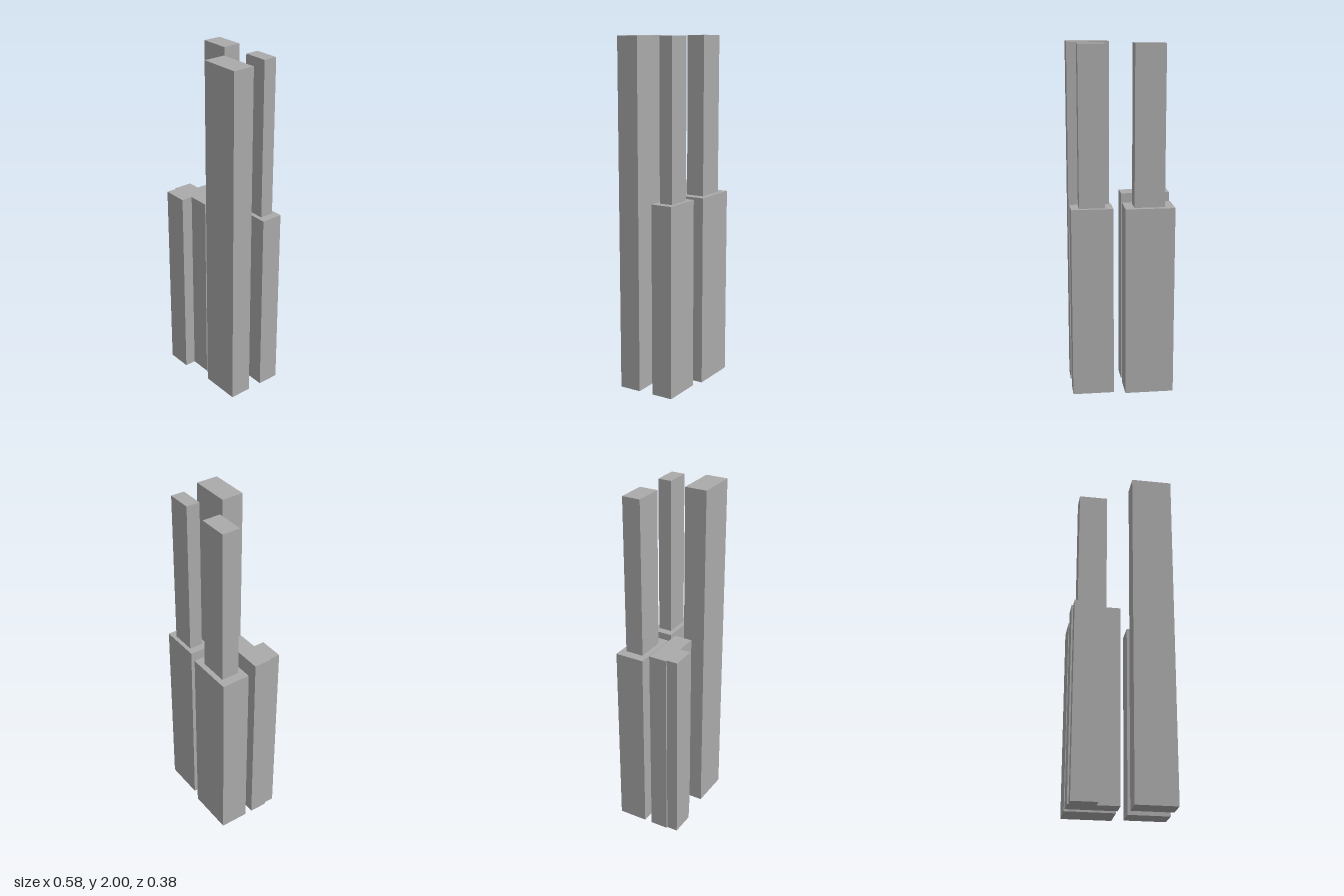
import * as THREE from 'three';

export function createModel() {
  const model = new THREE.Group();
  model.name = 'towerCluster';
  const grey = new THREE.MeshStandardMaterial({ color: 0xaaaaaa });
  grey.name = 'concreteGrey';

  // Upright block given by its limits on each axis
  function block(name, [x0, x1], [y0, y1], [z0, z1]) {
    const mesh = new THREE.Mesh(new THREE.BoxGeometry(x1 - x0, y1 - y0, z1 - z0), grey);
    mesh.position.set((x0 + x1) / 2, (y0 + y1) / 2, (z0 + z1) / 2);
    mesh.name = name;
    model.add(mesh);
  }

  // Full-height front tower
  block('frontLeftTower', [0.053, 0.289], [0, 2], [0.042, 0.17]);

  // Stepped back towers: wide base with a slim shaft
  block('backLeftBase', [0.053, 0.289], [0, 1.1], [-0.172, -0.045]);
  block('backLeftShaft', [0.098, 0.243], [1.1, 2], [-0.149, -0.07]);
  block('backRightBase', [-0.291, -0.012], [0, 1.1], [-0.193, -0.024]);
  block('backRightShaft', [-0.237, -0.066], [1.1, 2], [-0.162, -0.056]);

  // Low front block with a projecting bay, extruded from its plan (x, z)
  const plan = [
    [-0.291, 0.021], [-0.291, 0.126], [-0.282, 0.126], [-0.282, 0.191],
    [-0.137, 0.191], [-0.137, 0.126], [-0.012, 0.126], [-0.012, 0.021],
  ];
  const shape = new THREE.Shape(plan.map(([x, z]) => new THREE.Vector2(x, -z)));
  const geometry = new THREE.ExtrudeGeometry(shape, { depth: 1.143, bevelEnabled: false });
  geometry.rotateX(-Math.PI / 2);
  const bayBlock = new THREE.Mesh(geometry, grey);
  bayBlock.name = 'frontRightBayBlock';
  model.add(bayBlock);

  return model;
}
